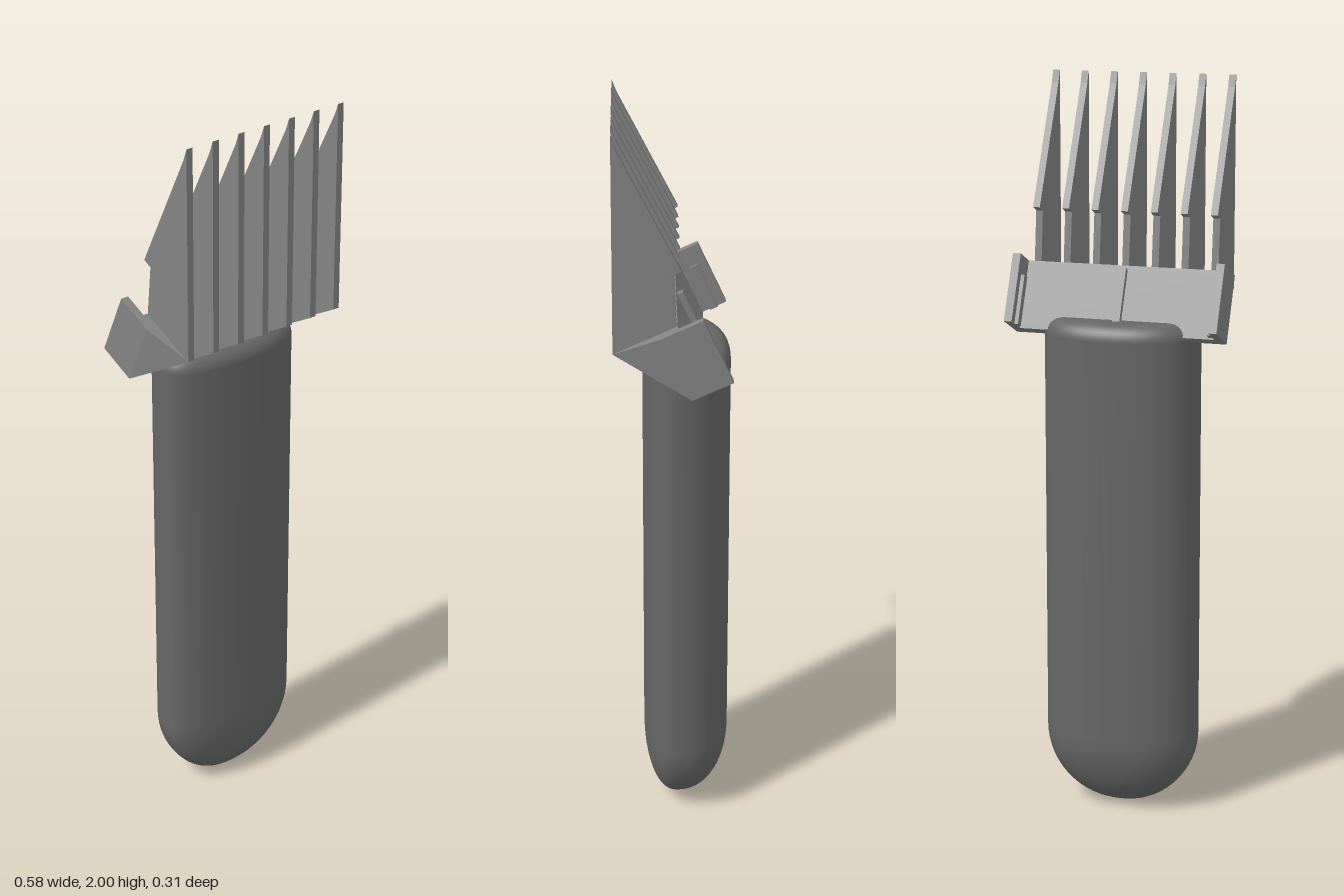
import * as THREE from 'three';
import { mergeVertices } from 'three/addons/utils/BufferGeometryUtils.js';
import { ConvexGeometry } from 'three/addons/geometries/ConvexGeometry.js';

const handleGrey = new THREE.MeshStandardMaterial({ color: 0x666666 });
const headGrey = new THREE.MeshStandardMaterial({ color: 0x838383, flatShading: true });

function add(parent, name, geometry, material = headGrey) {
  const mesh = new THREE.Mesh(geometry, material);
  mesh.name = name;
  parent.add(mesh);
}

// Slab with a side profile of [z, y] points, centred on x
function slab(points, x, width) {
  const shape = new THREE.Shape(points.map(([z, y]) => new THREE.Vector2(z, y)));
  return new THREE.ExtrudeGeometry(shape, { depth: width, bevelEnabled: false })
    .translate(0, 0, -width / 2).rotateY(-Math.PI / 2).translate(x, 0, 0);
}

// Tilted head frame: v runs up and forward, w runs back and up
const tilt = (w, v) => [-0.048 - 0.907 * w + 0.42 * v, 1.317 + 0.42 * w + 0.907 * v];
const tiltedBox = (x, width, w0, w1, v0, v1) =>
  slab([tilt(w0, v0), tilt(w1, v0), tilt(w1, v1), tilt(w0, v1)], x, width);

// Handle: domed foot, rounded top, egg-shaped section that is flatter in front
function handleGeometry() {
  const R = 0.213, top = 1.37, round = 0.045, steps = 16;
  const profile = [];
  for (let i = 0; i <= steps; i++) {
    const a = (i / steps) * Math.PI / 2;
    profile.push(new THREE.Vector2(R * Math.sin(a), R * (1 - Math.cos(a))));
  }
  for (let i = 0; i <= 8; i++) {
    const a = (i / 8) * Math.PI / 2;
    profile.push(new THREE.Vector2(R - round + round * Math.cos(a), top - round + round * Math.sin(a)));
  }
  profile.push(new THREE.Vector2(0.08, top), new THREE.Vector2(0, top));

  const lathe = new THREE.LatheGeometry(profile, 64);
  const pos = lathe.attributes.position;
  const soften = (c) => Math.sign(c) * Math.abs(c) ** (2 / 2.3);
  for (let i = 0; i < pos.count; i++) {
    const x = pos.getX(i), y = pos.getY(i), z = pos.getZ(i);
    const r = Math.hypot(x, z);
    const inset = y > 1 ? Math.min(R - r, round) : 0;
    const depth = (z > 0 ? 0.09 : 0.144) - inset;
    const angle = Math.atan2(z, x);
    pos.setX(i, soften(Math.cos(angle)) * r + 0.003);
    pos.setZ(i, soften(Math.sin(angle)) * depth * r / (R - inset) - 0.012);
  }
  lathe.deleteAttribute('uv');
  lathe.deleteAttribute('normal');
  const geometry = mergeVertices(lathe, 1e-5);
  geometry.computeVertexNormals();
  return geometry;
}

export function createModel() {
  const model = new THREE.Group();
  model.name = 'combTool';
  add(model, 'handle', handleGeometry(), handleGrey);

  // Comb head, turned very slightly on the handle
  const head = new THREE.Group();
  head.name = 'combHead';
  head.rotation.y = -0.01;
  model.add(head);

  // Crossbar with a small rib on its back
  add(head, 'crossbar', tiltedBox(0, 0.56, 0, 0.046, 0, 0.187));
  add(head, 'backRib', tiltedBox(0, 0.02, 0.04, 0.062, 0.01, 0.177));

  // Seven pointed teeth, each notched at the back
  const tooth = [[0.154, 2], [0.142, 1.968], [-0.02, 1.652], [0.005, 1.64], [-0.01, 1.5], [-0.048, 1.317], [0.154, 1.43]];
  for (let i = -3; i <= 3; i++) add(head, 'tooth', slab(tooth, i * 0.0817 - 0.002, 0.019));

  // Side ears: tapered front cheek, plate and inner clip lip
  for (const s of [-1, 1]) {
    const ear = new THREE.Group();
    ear.name = s > 0 ? 'leftEar' : 'rightEar';
    head.add(ear);
    add(ear, 'earPlate', tiltedBox(s * 0.28, 0.022, 0, 0.116, 0, 0.187));
    add(ear, 'clipLip', tiltedBox(s * 0.266, 0.014, 0.068, 0.092, 0, 0.135));
    const corners = [new THREE.Vector3(s * 0.254, 1.43, 0.154), new THREE.Vector3(s * 0.24, 1.43, 0.154)];
    for (const v of [0, 0.187]) {
      const [z, y] = tilt(0, v);
      corners.push(new THREE.Vector3(s * 0.291, y, z), new THREE.Vector3(s * 0.24, y, z));
    }
    add(ear, 'frontCheek', new ConvexGeometry(corners));
  }
  return model;
}
